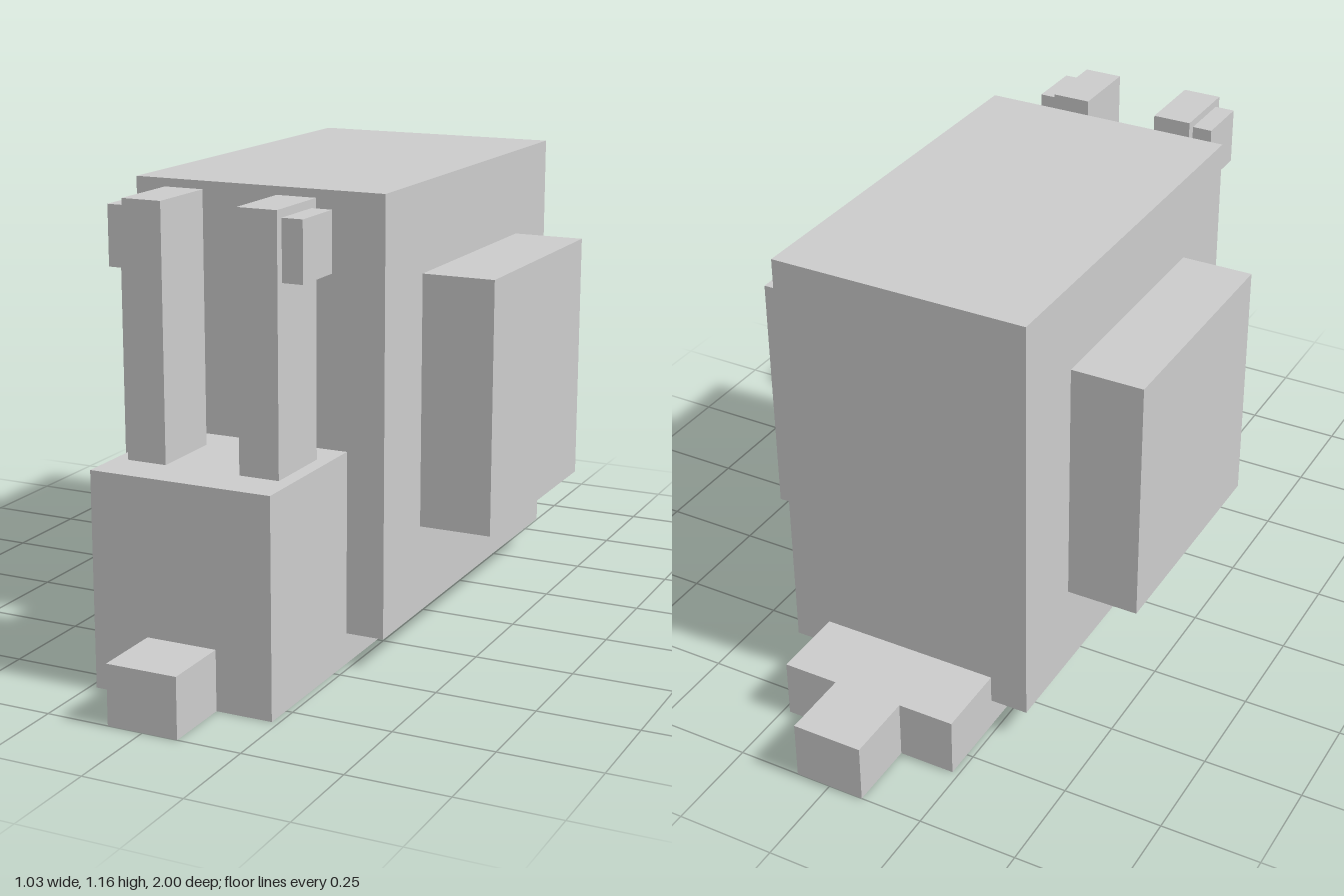
import * as THREE from 'three';

const material = new THREE.MeshStandardMaterial({ color: 0xcccccc, flatShading: true });

// Box given by its lower and upper limits on each axis
function block(name, [x0, x1], [y0, y1], [z0, z1]) {
  const mesh = new THREE.Mesh(new THREE.BoxGeometry(x1 - x0, y1 - y0, z1 - z0), material);
  mesh.name = name;
  mesh.position.set((x0 + x1) / 2, (y0 + y1) / 2, (z0 + z1) / 2);
  return mesh;
}

export function createModel() {
  const model = new THREE.Group();
  model.name = 'machine';

  // Base slab, raised front housing and main cabinet
  model.add(
    block('base', [-0.233, 0.233], [0, 0.15], [-0.82, 0.425]),
    block('frontHousing', [-0.233, 0.233], [0, 0.535], [0.425, 0.82]),
    block('cabinet', [-0.33, 0.33], [0.078, 1.157], [-0.627, 0.427]),
  );

  // End couplers
  model.add(
    block('frontCoupler', [-0.09, 0.09], [0, 0.15], [0.82, 1]),
    block('backCoupler', [-0.09, 0.09], [0, 0.15], [-1, -0.82]),
  );

  // Side boxes, and posts with outward knobs, mirrored left and right
  for (const [side, s] of [['left', 1], ['right', -1]]) {
    const span = (a, b) => (s > 0 ? [a, b] : [-b, -a]);
    model.add(
      block(side + 'SideBox', span(0.33, 0.515), [0.3, 0.935], [-0.41, 0.21]),
      block(side + 'Post', span(0.097, 0.198), [0.535, 1.152], [0.517, 0.71]),
      block(side + 'Knob', span(0.198, 0.25), [0.986, 1.132], [0.541, 0.688]),
    );
  }
  return model;
}
